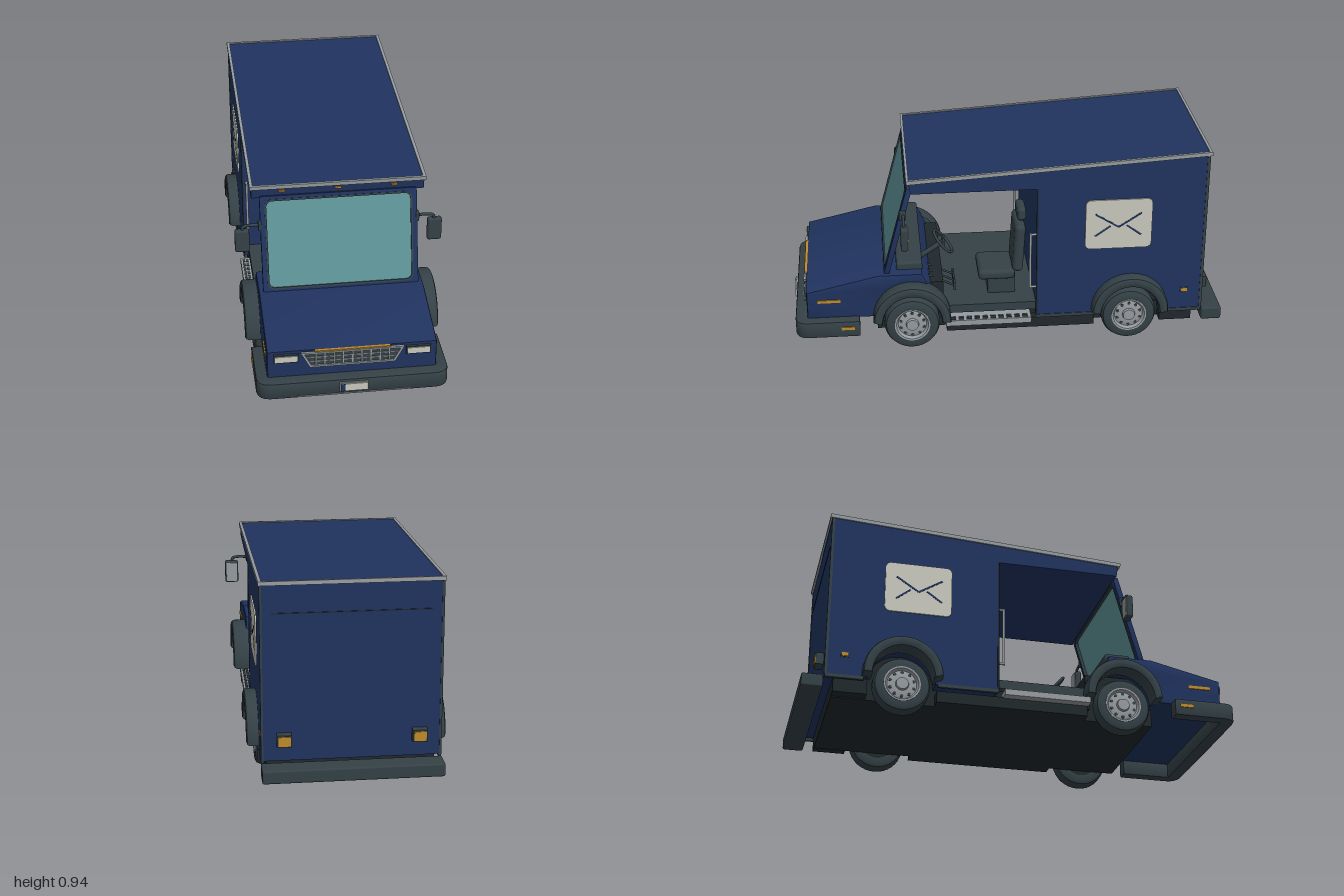
import * as THREE from 'three';
import { toCreasedNormals } from 'three/addons/utils/BufferGeometryUtils.js';
import { RoundedBoxGeometry } from 'three/addons/geometries/RoundedBoxGeometry.js';

const paint = (name, color) => Object.assign(new THREE.MeshStandardMaterial({ color }), { name });
const navy = paint('navy paint', 0x20335f);
const dark = paint('dark rubber', 0x344146);
const black = paint('undercarriage black', 0x20282b);
const silver = paint('silver metal', 0x969b9f);
const cream = paint('cream', 0xc8c8bc);
const glass = paint('glass', 0x5f9599);
const amber = paint('amber', 0xc08a2a);

const WHEEL_Y = 0.128, FRONT_Z = 0.45, REAR_Z = -0.56;
const V = (x, y, z) => new THREE.Vector3(x, y, z);

export function createModel() {
  const root = new THREE.Group();
  root.name = 'delivery van';

  const add = (name, geo, mat, x = 0, y = 0, z = 0, parent = root) => {
    const m = new THREE.Mesh(geo, mat);
    m.name = name;
    m.position.set(x, y, z);
    parent.add(m);
    return m;
  };
  // Box from its minimum and maximum corners
  const box = (name, mat, [x0, x1], [y0, y1], [z0, z1], parent) =>
    add(name, new THREE.BoxGeometry(Math.abs(x1 - x0), y1 - y0, z1 - z0), mat,
      (x0 + x1) / 2, (y0 + y1) / 2, (z0 + z1) / 2, parent);
  const softBox = (name, mat, w, h, d, r, x, y, z) =>
    add(name, new RoundedBoxGeometry(w, h, d, 3, r), mat, x, y, z);
  const rod = (name, mat, a, b, r) => {
    const m = add(name, new THREE.CylinderGeometry(r, r, a.distanceTo(b), 12), mat);
    m.position.copy(a).add(b).multiplyScalar(0.5);
    m.quaternion.setFromUnitVectors(V(0, 1, 0), b.clone().sub(a).normalize());
    return m;
  };
  const poly = pts => new THREE.Shape(pts.map(p => new THREE.Vector2(...p)));
  const extrude = (shape, width, bevel = 0) => {
    const g = new THREE.ExtrudeGeometry(shape, {
      depth: width - 2 * bevel, bevelEnabled: bevel > 0, bevelThickness: bevel, bevelSize: bevel,
      bevelOffset: -bevel, bevelSegments: 2, curveSegments: 24,
    });
    return toCreasedNormals(g.translate(0, 0, -(width - 2 * bevel) / 2), 0.5);
  };
  // Side profile given as (z, y), extruded across x
  const sideExtrude = (shape, width, bevel) => extrude(shape, width, bevel).rotateY(-Math.PI / 2);
  const roundRect = (cx, cy, w, h, r) => {
    const s = new THREE.Shape(), x = w / 2 - r, y = h / 2 - r;
    s.absarc(cx + x, cy + y, r, 0, Math.PI / 2);
    s.absarc(cx - x, cy + y, r, Math.PI / 2, Math.PI);
    s.absarc(cx - x, cy - y, r, Math.PI, Math.PI * 1.5);
    s.absarc(cx + x, cy - y, r, Math.PI * 1.5, Math.PI * 2);
    return s;
  };

  // Cargo body with roof header and rear wheel arches
  const body = new THREE.Shape();
  body.moveTo(-0.125, 0.145);
  body.lineTo(-0.125, 0.79);
  body.lineTo(0.443, 0.79);
  body.lineTo(0.45, 0.843);
  body.lineTo(-0.9, 0.926);
  body.lineTo(-0.9, 0.145);
  body.lineTo(REAR_Z - 0.15, 0.145);
  body.absarc(REAR_Z, 0.145, 0.15, Math.PI, 0, true);
  add('cargo body', sideExtrude(body, 0.77), navy);

  // Nose and hood with front wheel arches
  const hood = new THREE.Shape();
  hood.moveTo(0.93, 0.165);
  hood.lineTo(0.93, 0.305);
  hood.lineTo(0.6, 0.38);
  hood.lineTo(0.4, 0.38);
  hood.lineTo(0.36, 0.3);
  hood.lineTo(0.28, 0.165);
  hood.absarc(FRONT_Z, 0.165, 0.145, Math.PI, 0, true);
  add('hood', sideExtrude(hood, 0.742, 0.012), navy);

  // Sloping roof with raised silver edging
  const roof = new THREE.Group();
  roof.name = 'roof';
  roof.position.set(0, 0.889, -0.225);
  roof.rotation.x = 0.062;
  root.add(roof);
  box('roof panel', navy, [-0.38, 0.38], [-0.008, 0.006], [-0.68, 0.68], roof);
  for (const s of [-1, 1]) {
    box('roof side trim', silver, [s * 0.378, s * 0.392], [-0.008, 0.01], [-0.687, 0.687], roof);
    box('roof end trim', silver, [-0.39, 0.39], [-0.008, 0.01], [s * 0.681 - 0.006, s * 0.681 + 0.006], roof);
  }

  // Windshield: frame, gasket and pane share one tilted group
  const shield = new THREE.Group();
  shield.name = 'windshield';
  shield.position.set(0, 0.372, 0.562);
  shield.rotation.x = -0.264;
  root.add(shield);
  const frame = roundRect(0, 0.222, 0.7, 0.444, 0.01);
  frame.holes.push(roundRect(0, 0.222, 0.654, 0.41, 0.03));
  add('windshield frame', extrude(frame, 0.024), navy, 0, 0, 0, shield);
  const gasket = roundRect(0, 0.222, 0.658, 0.414, 0.032);
  gasket.holes.push(roundRect(0, 0.222, 0.642, 0.398, 0.026));
  add('windshield gasket', extrude(gasket, 0.03), dark, 0, 0, 0, shield);
  add('windshield pane', extrude(roundRect(0, 0.222, 0.65, 0.406, 0.028), 0.008), glass, 0, 0, 0.004, shield);

  // Chassis and cab floor
  box('chassis', black, [-0.31, 0.31], [0.07, 0.15], [-0.86, 0.61]);
  box('chassis middle', black, [-0.365, 0.365], [0.07, 0.122], [-0.4, 0.29]);
  box('chassis tail', black, [-0.365, 0.365], [0.075, 0.145], [-0.86, -0.71]);
  box('wheel well core', black, [-0.305, 0.305], [0.14, 0.3], [0.3, 0.6]);
  box('rear well core', black, [-0.305, 0.305], [0.14, 0.3], [-0.71, -0.41]);
  box('cab floor', dark, [-0.365, 0.365], [0.165, 0.205], [-0.125, 0.31]);
  box('floor support', black, [-0.33, 0.33], [0.12, 0.165], [-0.13, 0.31]);

  // Front bumper wraps round the nose
  const bumper = new THREE.Shape();
  bumper.moveTo(0.42, 0.69);
  bumper.lineTo(0.42, 0.92);
  bumper.quadraticCurveTo(0.42, 0.985, 0.35, 0.985);
  bumper.lineTo(-0.35, 0.985);
  bumper.quadraticCurveTo(-0.42, 0.985, -0.42, 0.92);
  for (const p of [[-0.42, 0.69], [-0.36, 0.69], [-0.36, 0.92], [0.36, 0.92], [0.36, 0.69]]) bumper.lineTo(...p);
  add('front bumper', extrude(bumper, 0.08, 0.008).rotateX(Math.PI / 2), dark, 0, 0.135, 0);
  box('bumper trim line', silver, [-0.245, 0.245], [0.101, 0.106], [0.975, 0.988]);
  box('front plate frame', silver, [-0.063, 0.063], [0.118, 0.162], [0.98, 0.992]);
  box('front plate', cream, [-0.058, 0.058], [0.122, 0.158], [0.99, 0.996]);
  box('front plate band', navy, [-0.058, -0.038], [0.122, 0.158], [0.99, 0.998]);
  softBox('rear bumper', dark, 0.78, 0.06, 0.095, 0.008, 0, 0.11, -0.9525);

  // Grille
  const grille = poly([[-0.225, 0.298], [-0.185, 0.222], [0.185, 0.222], [0.225, 0.298]]);
  add('grille backing', extrude(grille, 0.008), dark, 0, 0, 0.932);
  const surround = grille.clone();
  surround.holes.push(poly([[-0.21, 0.29], [-0.178, 0.23], [0.178, 0.23], [0.21, 0.29]]));
  add('grille surround', extrude(surround, 0.016), silver, 0, 0, 0.936);
  for (let i = -4; i <= 4; i++) box('grille bar', silver, [i * 0.04 - 0.0025, i * 0.04 + 0.0025], [0.228, 0.292], [0.93, 0.94]);
  for (const [y, w] of [[0.25, 0.188], [0.271, 0.198]]) box('grille crossbar', silver, [-w, w], [y - 0.002, y + 0.002], [0.93, 0.94]);
  box('nose amber strip', amber, [-0.165, 0.165], [0.299, 0.305], [0.925, 0.942]);
  for (const x of [-0.25, 0, 0.25]) box('roof marker light', amber, [x - 0.014, x + 0.014], [0.82, 0.829], [0.44, 0.456]);

  // Rear door seam
  box('rear door seam', black, [-0.34, 0.34], [0.798, 0.802], [-0.903, -0.898]);

  // Driver seat
  softBox('seat base', dark, 0.15, 0.1, 0.13, 0.01, 0.19, 0.25, 0.025);
  softBox('seat cushion', dark, 0.21, 0.05, 0.17, 0.02, 0.19, 0.312, 0.05);
  softBox('seat back', dark, 0.2, 0.24, 0.05, 0.022, 0.19, 0.44, -0.055).rotation.x = -0.06;
  softBox('headrest', dark, 0.12, 0.065, 0.042, 0.018, 0.19, 0.597, -0.07);
  box('headrest post', dark, [0.16, 0.22], [0.54, 0.59], [-0.078, -0.066]);

  // Dashboard, steering wheel and pedals
  softBox('dashboard', dark, 0.64, 0.05, 0.12, 0.012, 0, 0.39, 0.455);
  const hub = V(0.19, 0.45, 0.292);
  const steer = add('steering wheel', new THREE.TorusGeometry(0.063, 0.007, 8, 28), dark, hub.x, hub.y, hub.z);
  steer.quaternion.setFromUnitVectors(V(0, 0, 1), V(0, 0.648, -0.762));
  const spoke = add('steering spoke', new THREE.BoxGeometry(0.12, 0.014, 0.008), dark, hub.x, hub.y, hub.z);
  spoke.quaternion.copy(steer.quaternion);
  rod('steering column', dark, hub, V(0.19, 0.372, 0.41), 0.012);
  for (const x of [0.14, 0.2, 0.25]) {
    rod('pedal arm', dark, V(x, 0.31, 0.37), V(x, 0.25, 0.25), 0.005);
    box('pedal', dark, [x - 0.016, x + 0.016], [0.23, 0.27], [0.24, 0.25]);
  }

  // Wheel parts, turned about their axle
  const lathe = pts => toCreasedNormals(new THREE.LatheGeometry(pts.map(p => new THREE.Vector2(...p)), 36), 0.6).rotateZ(-Math.PI / 2);
  const tyreGeo = lathe([[0.078, -0.04], [0.106, -0.041], [0.12, -0.034], [0.128, -0.016], [0.128, 0.016], [0.12, 0.034], [0.106, 0.041], [0.078, 0.04]]);
  const rimGeo = lathe([[0.082, 0.02], [0.082, 0.043], [0.074, 0.042], [0.066, 0.028], [0.045, 0.034], [0.03, 0.034], [0.027, 0.046], [0, 0.047]]);
  const holeGeo = new THREE.CylinderGeometry(0.0075, 0.0075, 0.012, 10).rotateZ(-Math.PI / 2);
  const coreGeo = new THREE.CylinderGeometry(0.08, 0.08, 0.06, 24).rotateZ(-Math.PI / 2);

  // Flared arch over each wheel
  const arch = new THREE.Shape();
  arch.moveTo(0.178, 0.15);
  arch.absellipse(0, 0.165, 0.178, 0.177, 0, Math.PI, false);
  arch.lineTo(-0.178, 0.15);
  arch.lineTo(-0.136, 0.15);
  arch.absellipse(0, 0.15, 0.136, 0.142, Math.PI, 0, true);
  const archGeo = sideExtrude(arch, 0.1, 0.016);
  const signGeo = sideExtrude(roundRect(-0.4975, 0.6025, 0.305, 0.245, 0.025), 0.008);

  for (const s of [-1, 1]) {
    for (const z of [FRONT_Z, REAR_Z]) {
      const wheel = new THREE.Group();
      wheel.name = z > 0 ? 'frontWheel' : 'rearWheel';
      wheel.position.set(s * 0.355, WHEEL_Y, z);
      if (s < 0) wheel.rotation.y = Math.PI;
      root.add(wheel);
      add('tyre', tyreGeo, dark, 0, 0, 0, wheel);
      add('wheel core', coreGeo, black, -0.008, 0, 0, wheel);
      add('rim', rimGeo, silver, 0, 0, 0, wheel);
      for (let i = 0; i < 10; i++) {
        const a = i * Math.PI / 5;
        add('rim hole', holeGeo, dark, 0.027, 0.055 * Math.cos(a), 0.055 * Math.sin(a), wheel);
      }
      add('wheel arch flare', archGeo, dark, s * 0.39, 0, z);
    }

    // Mail sign with envelope lines
    add('side sign', signGeo, cream, s * 0.387, 0, 0);
    for (const [z0, y0, z1, y1] of [[-0.39, 0.655, -0.4975, 0.588], [-0.4975, 0.588, -0.6, 0.655],
      [-0.39, 0.545, -0.46, 0.595], [-0.6, 0.545, -0.535, 0.595]]) {
      const bar = add('envelope line', new THREE.BoxGeometry(0.004, 0.008, Math.hypot(z1 - z0, y1 - y0)), navy,
        s * 0.3905, (y0 + y1) / 2, (z0 + z1) / 2);
      bar.rotation.x = -Math.atan2(y1 - y0, z1 - z0);
    }

    // Side step with tread
    box('side step', silver, [s * 0.3, s * 0.407], [0.118, 0.146], [-0.1, 0.295]);
    for (let i = 0; i < 10; i++) for (const x of [0.376, 0.392])
      box('step tread', dark, [s * (x - 0.006), s * (x + 0.006)], [0.144, 0.149], [-0.085 + i * 0.037, -0.06 + i * 0.037]);

    // Door grab rail and dark body edging
    rod('grab rail', silver, V(s * 0.366, 0.28, -0.098), V(s * 0.366, 0.56, -0.098), 0.006);
    for (const y of [0.285, 0.555]) rod('rail mount', silver, V(s * 0.366, y, -0.098), V(s * 0.366, y, -0.13), 0.006);
    box('rear corner trim', dark, [s * 0.378, s * 0.388], [0.145, 0.922], [-0.903, -0.89]);
    box('door edge trim', black, [s * 0.381, s * 0.387], [0.145, 0.79], [-0.13, -0.123]);
    box('sill trim', dark, [s * 0.375, s * 0.388], [0.132, 0.148], [-0.4, -0.125]);
    box('rear sill trim', dark, [s * 0.375, s * 0.388], [0.132, 0.148], [-0.9, -0.73]);

    // Mirror
    const arm = new THREE.CatmullRomCurve3([V(s * 0.35, 0.672, 0.477), V(s * 0.4, 0.674, 0.477), V(s * 0.425, 0.668, 0.477), V(s * 0.432, 0.64, 0.477)]);
    add('mirror arm', new THREE.TubeGeometry(arm, 16, 0.007, 8), dark);
    softBox('mirror bracket', dark, 0.016, 0.045, 0.03, 0.005, s * 0.352, 0.672, 0.48);
    softBox('mirror housing', dark, 0.065, 0.11, 0.032, 0.01, s * 0.432, 0.6, 0.477);
    box('mirror face', silver, [s * 0.406, s * 0.458], [0.553, 0.647], [0.457, 0.463]);

    // Lamps and markers
    box('headlight frame', dark, [s * 0.234, s * 0.342], [0.252, 0.292], [0.925, 0.94]);
    box('headlight', cream, [s * 0.24, s * 0.336], [0.258, 0.286], [0.935, 0.944]);
    box('nose side marker', amber, [s * 0.365, s * 0.376], [0.252, 0.266], [0.775, 0.88]);
    box('bumper side marker', amber, [s * 0.415, s * 0.424], [0.134, 0.148], [0.715, 0.775]);
    box('rear side marker frame', dark, [s * 0.38, s * 0.388], [0.233, 0.257], [-0.834, -0.798]);
    box('rear side marker', amber, [s * 0.38, s * 0.391], [0.237, 0.253], [-0.83, -0.802]);
    box('tail lamp housing', dark, [s * 0.258, s * 0.322], [0.218, 0.272], [-0.936, -0.898]);
    box('tail lamp', amber, [s * 0.264, s * 0.316], [0.224, 0.266], [-0.94, -0.934]);
  }
  return root;
}
